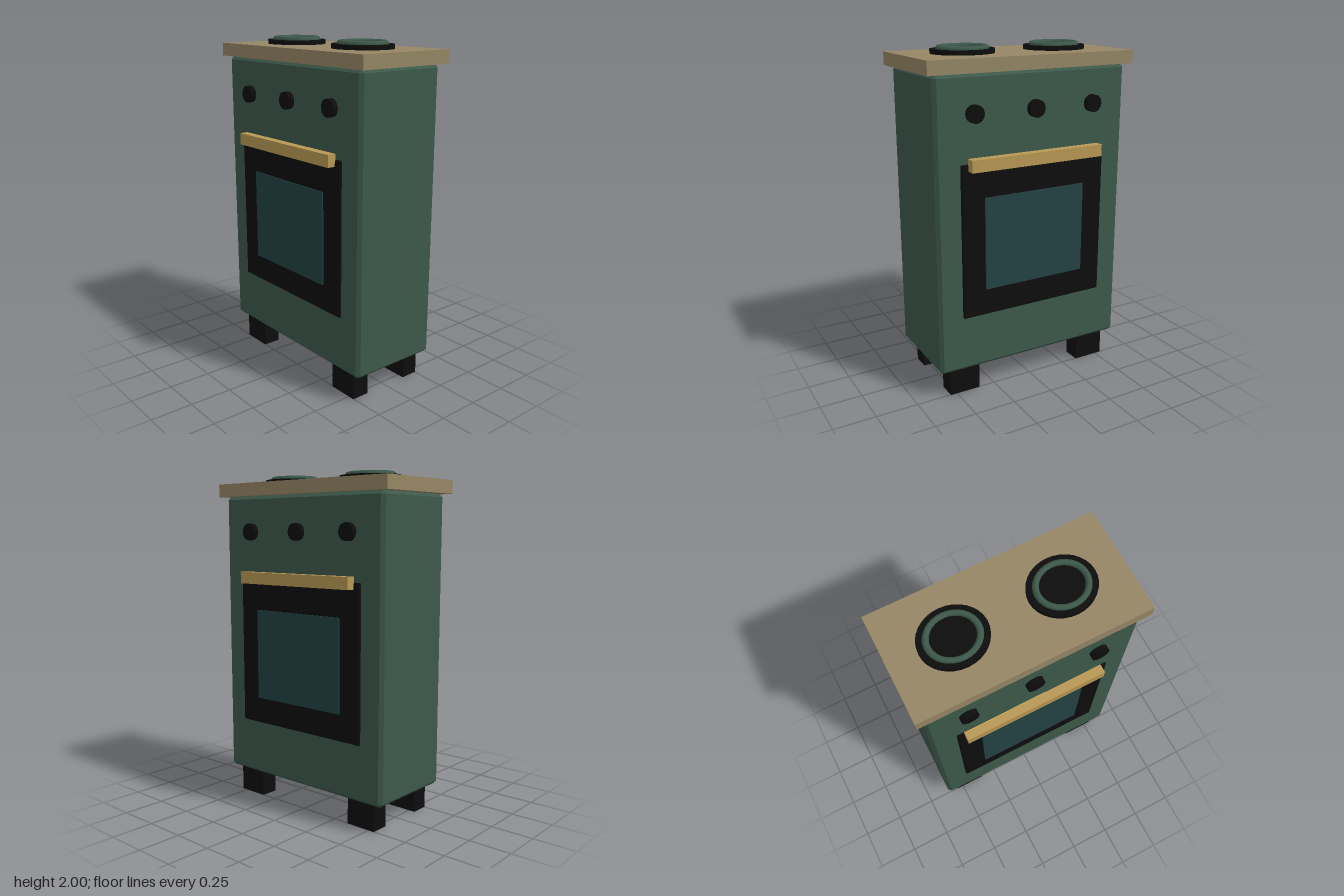
import * as THREE from 'three';
import { ConvexGeometry } from 'three/addons/geometries/ConvexGeometry.js';

const mat = (name, color) => {
  const m = new THREE.MeshStandardMaterial({ color });
  m.name = name;
  return m;
};

// Box with every edge and corner cut at 45 degrees
function chamferBox(w, h, d, c) {
  const pts = [];
  for (const sx of [-1, 1]) for (const sy of [-1, 1]) for (const sz of [-1, 1]) {
    for (let axis = 0; axis < 3; axis++) {
      const cut = [c, c, c];
      cut[axis] = 0;
      pts.push(new THREE.Vector3(sx * (w / 2 - cut[0]), sy * (h / 2 - cut[1]), sz * (d / 2 - cut[2])));
    }
  }
  return new ConvexGeometry(pts);
}

export function createModel() {
  const green = mat('green enamel', 0x3d594b);
  const black = mat('black iron', 0x0d0d0d);
  const stone = mat('worktop tan', 0x958664);
  const wood = mat('handle wood', 0xb89854);
  const glass = mat('oven glass', 0x234243);

  const model = new THREE.Group();
  model.name = 'stove';
  const add = (name, geometry, material, x, y, z) => {
    const mesh = new THREE.Mesh(geometry, material);
    mesh.name = name;
    mesh.position.set(x, y, z);
    model.add(mesh);
    return mesh;
  };

  // Cabinet and worktop
  add('body', chamferBox(0.572, 1.718, 1.222, 0.02), green, 0, 1.019, 0);
  add('worktop', new THREE.BoxGeometry(0.62, 0.077, 1.3), stone, 0, 1.9165, 0);

  // Burners: oval plate with a raised ring
  const plate = new THREE.CylinderGeometry(0.167, 0.167, 0.035, 32).scale(1, 1, 1.115);
  const ring = new THREE.TorusGeometry(0.122, 0.016, 8, 32).rotateX(Math.PI / 2).scale(1, 1.15, 1.115);
  for (const z of [-0.3, 0.3]) {
    add('burnerPlate', plate, black, 0, 1.9625, z);
    add('burnerRing', ring, green, 0, 1.982, z);
  }

  // Both broad sides carry a door, handle and knobs; a leg stands at each corner
  const door = chamferBox(0.03, 0.9, 0.93, 0.006);
  const pane = new THREE.BoxGeometry(0.009, 0.545, 0.65);
  const handle = new THREE.BoxGeometry(0.052, 0.07, 0.846);
  const knob = new THREE.CylinderGeometry(0.05, 0.05, 0.036, 24).rotateZ(Math.PI / 2);
  const leg = new THREE.BoxGeometry(0.108, 0.165, 0.19);
  for (const s of [-1, 1]) {
    add('ovenDoor', door, black, s * 0.285, 0.942, 0);
    add('ovenWindow', pane, glass, s * 0.3025, 0.9225, 0);
    add('doorHandle', handle, wood, s * 0.322, 1.39, 0);
    for (const z of [-0.38, 0, 0.38]) add('knob', knob, black, s * 0.301, 1.664, z);
    for (const z of [-0.445, 0.445]) add('leg', leg, black, s * 0.199, 0.0825, z);
  }
  return model;
}
